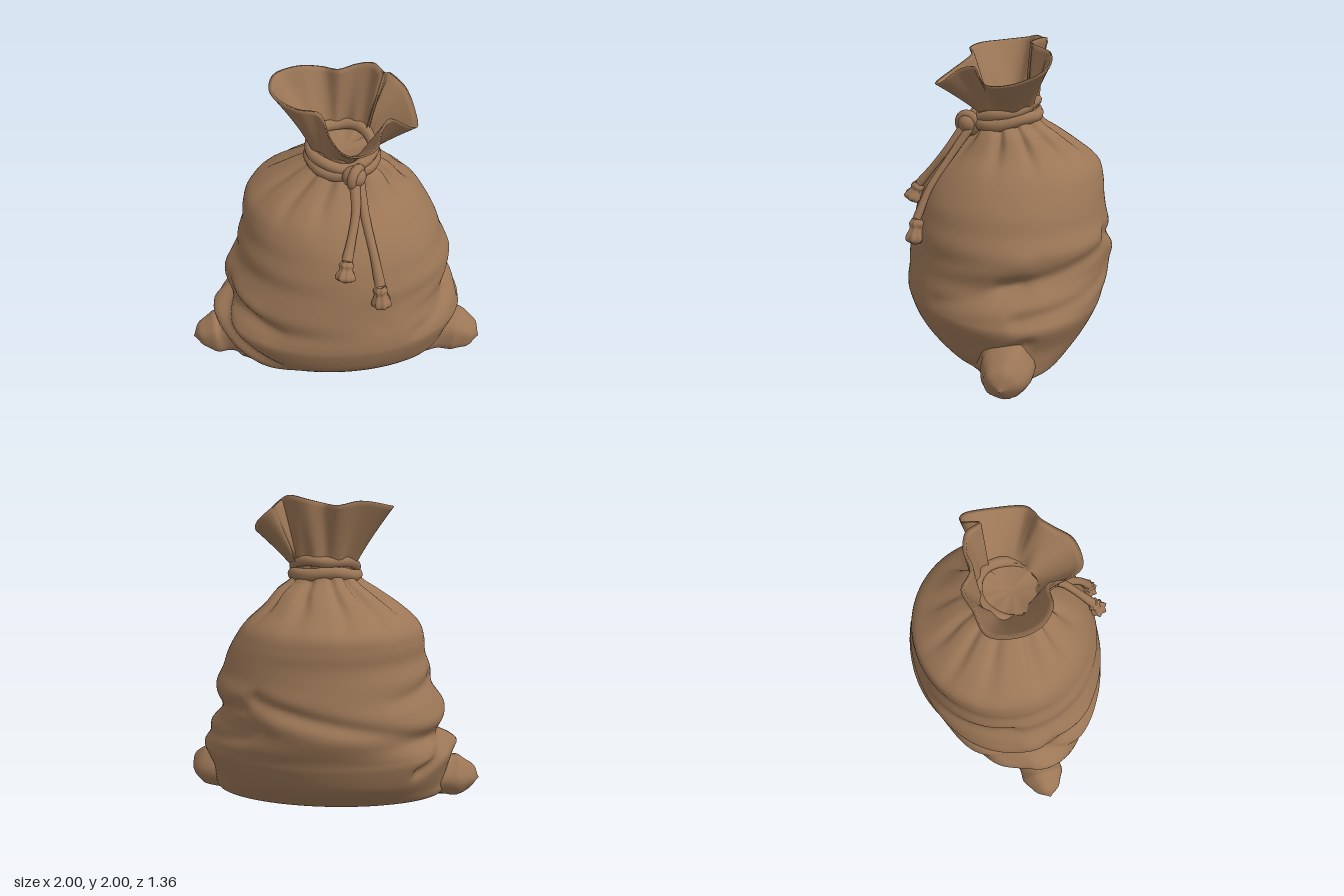
import * as THREE from 'three';

const cloth = new THREE.MeshStandardMaterial({ color: 0x9b7656, side: THREE.DoubleSide });
cloth.name = 'brown cloth';

// Skin a stack of rings (each a closed loop of points) with smooth normals
function skin(rows) {
  const n = rows[0].length, pos = [], index = [];
  rows.forEach(r => r.forEach(p => pos.push(p.x, p.y, p.z)));
  for (let i = 0; i < rows.length - 1; i++) {
    for (let j = 0; j < n; j++) {
      const k = (j + 1) % n, a = i * n + j, b = a + n, c = i * n + k, d = c + n;
      index.push(a, b, c, c, b, d);
    }
  }
  const g = new THREE.BufferGeometry();
  g.setAttribute('position', new THREE.Float32BufferAttribute(pos, 3));
  g.setIndex(index);
  g.computeVertexNormals();
  return g;
}

// Uniform Catmull-Rom interpolation of a table of equal-length rows
function sampleTable(table, u) {
  const s = u * (table.length - 1), i = Math.min(Math.floor(s), table.length - 2), t = s - i;
  const at = k => table[Math.max(0, Math.min(table.length - 1, k))];
  return at(i).map((p1, c) => {
    const p0 = at(i - 1)[c], p2 = at(i + 1)[c], p3 = at(i + 2)[c];
    return p1 + 0.5 * t * (p2 - p0 + t * (2 * p0 - 5 * p1 + 4 * p2 - p3 + t * (3 * (p1 - p2) + p3 - p0)));
  });
}

// Round sweep along a path with changing radius; lobes add lengthwise ridges
function sweep(points, radii, { steps = 30, sides = 16, lobes = 0, depth = 0 } = {}) {
  const curve = new THREE.CatmullRomCurve3(points.map(p => new THREE.Vector3(...p)));
  const { normals, binormals } = curve.computeFrenetFrames(steps, false);
  const rows = [];
  for (let i = 0; i <= steps; i++) {
    const c = curve.getPoint(i / steps), [r] = sampleTable(radii.map(v => [v]), i / steps);
    rows.push(Array.from({ length: sides }, (_, j) => {
      const a = j / sides * Math.PI * 2, q = Math.max(0, r) * (1 + depth * Math.cos(lobes * a));
      const p = c.clone().addScaledVector(normals[i], q * Math.cos(a)).addScaledVector(binormals[i], -q * Math.sin(a));
      p.y = Math.max(0, p.y);
      return p;
    }));
  }
  return skin(rows);
}

// Sack outline: y, right x, left x, back z, front z
const OUTLINE = [
  [0, -0.72, 0.74, -0.25, 0.34], [0.04, -0.76, 0.79, -0.36, 0.44], [0.12, -0.76, 0.80, -0.46, 0.53],
  [0.22, -0.78, 0.81, -0.55, 0.60], [0.35, -0.81, 0.86, -0.61, 0.645], [0.42, -0.77, 0.85, -0.63, 0.65],
  [0.5, -0.71, 0.82, -0.655, 0.64], [0.6, -0.74, 0.755, -0.675, 0.63], [0.7, -0.70, 0.75, -0.68, 0.615],
  [0.8, -0.65, 0.755, -0.67, 0.60], [0.9, -0.64, 0.71, -0.65, 0.58], [1.0, -0.605, 0.675, -0.635, 0.55],
  [1.1, -0.595, 0.62, -0.635, 0.505], [1.2, -0.56, 0.55, -0.61, 0.44], [1.3, -0.45, 0.44, -0.49, 0.35],
  [1.4, -0.30, 0.355, -0.35, 0.26], [1.47, -0.19, 0.265, -0.245, 0.20], [1.56, -0.14, 0.23, -0.2, 0.18],
];

// Cloth folds: start angle, start y, end angle, end y, width, height (negative = crease)
const FOLDS = [
  [3.14, 0.40, 2.1, 0.04, 0.06, 0.035], [3.14, 0.50, 2.15, 0.16, 0.035, -0.045],
  [3.0, 0.26, 2.35, 0.03, 0.03, -0.05], [2.9, 0.62, 2.2, 0.46, 0.06, -0.03],
  [3.14, 0.68, 2.4, 0.62, 0.06, 0.02], [0.1, 0.60, 0.95, 0.46, 0.05, -0.03],
  [0.1, 0.74, 1.1, 0.60, 0.07, 0.02], [0.25, 0.60, -0.85, 0.74, 0.05, -0.035],
  [0.1, 0.43, -0.9, 0.53, 0.05, -0.03], [0.0, 0.28, 0.8, 0.02, 0.04, -0.035],
  [5.3, 0.80, 3.5, 0.48, 0.05, -0.035], [5.1, 0.66, 3.6, 0.36, 0.09, 0.02],
  [3.9, 0.30, 3.2, 0.50, 0.04, -0.04], [3.3, 0.85, 4.0, 0.78, 0.05, -0.02],
];

function foldHeight(a, y) {
  let h = 0;
  for (const [a0, y0, a1, y1, w, amp] of FOLDS) {
    for (const turn of [-2 * Math.PI, 0, 2 * Math.PI]) {
      const dx = (a1 - a0) * 0.65, dy = y1 - y0, px = (a + turn - a0) * 0.65, py = y - y0;
      const t = Math.max(0, Math.min(1, (px * dx + py * dy) / (dx * dx + dy * dy)));
      const d2 = (px - t * dx) ** 2 + (py - t * dy) ** 2;
      h += amp * Math.exp(-d2 / (w * w)) * (1 - 0.5 * t);
    }
  }
  return h;
}

function sackGeometry() {
  const STEPS = 100, SIDES = 128, rows = [];
  const ring = (u, scale) => {
    const [y, x0, x1, z0, z1] = sampleTable(OUTLINE, u);
    const gather = Math.exp(-(((y - 1.38) / 0.13) ** 2));
    return Array.from({ length: SIDES }, (_, j) => {
      const a = j / SIDES * Math.PI * 2;
      // gathered pleats below the tie
      const pleat = -0.045 * gather * Math.pow(Math.abs(Math.cos(a * 5.5 + 0.5 * Math.sin(a * 3))), 6);
      const h = foldHeight(a, y) * Math.min(1, y / 0.08) + pleat;
      return new THREE.Vector3(
        (x0 + x1) / 2 + ((x1 - x0) / 2 + h) * Math.cos(a) * scale, Math.max(0, y),
        (z0 + z1) / 2 + ((z1 - z0) / 2 + h) * Math.sin(a) * scale);
    });
  };
  rows.push(ring(0, 0), ring(0, 0.96));
  for (let i = 0; i <= STEPS; i++) rows.push(ring(i / STEPS, 1));
  return skin(rows);
}

// Wavy edge of the open mouth
const RIM = [
  [0.49, 1.76, 0.02], [0.47, 1.75, 0.19], [0.40, 1.79, 0.23], [0.32, 1.84, 0.25], [0.26, 1.82, 0.32],
  [0.21, 1.74, 0.42], [0.10, 1.71, 0.45], [0.02, 1.72, 0.43], [-0.05, 1.77, 0.34], [-0.11, 1.86, 0.20],
  [-0.24, 1.89, 0.19], [-0.35, 1.91, 0.10], [-0.39, 1.92, -0.04], [-0.35, 1.94, -0.21], [-0.20, 1.965, -0.255],
  [-0.06, 1.94, -0.29], [0.04, 1.95, -0.22], [0.15, 1.975, -0.235], [0.25, 1.995, -0.20], [0.31, 1.97, -0.11],
  [0.36, 1.92, -0.21], [0.45, 1.84, -0.18],
].map(p => new THREE.Vector3(...p));

function collarGeometry() {
  const SIDES = 132, STEPS = 14, rows = [];
  const edge = new THREE.CatmullRomCurve3(RIM, true);
  const ring = (t, inset) => Array.from({ length: SIDES }, (_, j) => {
    const p = edge.getPoint(j / SIDES), a = Math.atan2(p.z - 0.03, p.x - 0.05);
    const r = 0.185 + 0.012 * Math.cos(a * 9), f = Math.pow(t, 1.15);
    const x = THREE.MathUtils.lerp(0.05 + r * Math.cos(a), p.x, f);
    const z = THREE.MathUtils.lerp(-0.01 + r * Math.sin(a), p.z, f);
    const d = Math.hypot(x - 0.05, z) || 1;
    return new THREE.Vector3(x - (x - 0.05) / d * inset, THREE.MathUtils.lerp(1.52, p.y, t), z - z / d * inset);
  });
  for (let i = 0; i <= STEPS; i++) rows.push(ring(i / STEPS, 0));
  for (let i = STEPS; i >= 1; i--) rows.push(ring(i / STEPS, 0.022));
  // closed throat
  rows.push(rows[0].map(() => new THREE.Vector3(0.05, 1.53, 0.03)));
  return skin(rows);
}

export function createModel() {
  const model = new THREE.Group();
  const add = (name, geometry, parent = model) => {
    const m = new THREE.Mesh(geometry, cloth);
    m.name = name;
    parent.add(m);
    return m;
  };

  add('sackBody', sackGeometry());
  add('sackMouth', collarGeometry());

  // Bunched bottom corners
  add('rightCorner', sweep([[-0.5, 0.16, 0.06], [-0.66, 0.15, 0.06], [-0.78, 0.12, 0.06], [-0.9, 0.11, 0.07], [-1.0, 0.09, 0.08]],
    [0.22, 0.22, 0.21, 0.165, 0.145, 0.145, 0.11, 0.075, 0], { sides: 28, lobes: 5, depth: 0.04 }));
  add('leftCorner', sweep([[0.5, 0.16, 0.1], [0.66, 0.14, 0.11], [0.8, 0.12, 0.13], [0.91, 0.11, 0.18], [1.0, 0.09, 0.21]],
    [0.22, 0.21, 0.19, 0.165, 0.16, 0.15, 0.12, 0.085, 0], { sides: 28, lobes: 5, depth: 0.04 }));

  // Cord wound around the neck
  const tie = new THREE.Group();
  tie.name = 'tie';
  model.add(tie);
  for (const [y, r, tilt, tube] of [[1.485, 0.2, -0.06, 0.042], [1.545, 0.195, -0.1, 0.036]]) {
    const loop = Array.from({ length: 20 }, (_, j) => {
      const a = j / 20 * Math.PI * 2;
      return new THREE.Vector3(0.045 + r * Math.cos(a), y + tilt * Math.sin(a) * 0.5 + 0.008 * Math.sin(a * 4 + y * 40), 0.005 + r * Math.sin(a));
    });
    add('neckCord', new THREE.TubeGeometry(new THREE.CatmullRomCurve3(loop, true), 72, tube, 10, true), tie);
  }

  // Knot
  const knot = add('knot', new THREE.SphereGeometry(0.07, 20, 14), tie);
  knot.position.set(0.1, 1.465, 0.25);
  knot.scale.set(1.05, 0.95, 0.95);
  const wrap = add('knotWrap', new THREE.TorusGeometry(0.055, 0.03, 10, 24), tie);
  wrap.position.set(0.11, 1.465, 0.255);
  wrap.rotation.set(0.2, 1.0, 0.4);

  // Hanging cord ends with frayed tassels
  const ends = [
    [[0.1, 1.44, 0.28], [0.1, 1.3, 0.385], [0.07, 1.18, 0.475], [0.035, 1.07, 0.56], [0.02, 0.945, 0.615]],
    [[0.13, 1.44, 0.24], [0.16, 1.25, 0.385], [0.2, 1.08, 0.51], [0.235, 0.9, 0.595], [0.25, 0.73, 0.615]],
  ];
  for (const path of ends) {
    const [top, upper, lower, neck, tip] = path;
    add('cordEnd', sweep([top, upper, lower, neck], [0.03, 0.025, 0.024, 0.03], { steps: 24, sides: 10, lobes: 2, depth: 0.12 }), tie);
    const mid = neck.map((v, k) => (v + tip[k]) / 2);
    add('tassel', sweep([neck, mid, tip], [0.028, 0.042, 0.036, 0.046, 0.056, 0.05, 0], { steps: 18, sides: 28, lobes: 7, depth: 0.14 }), tie);
  }
  return model;
}
